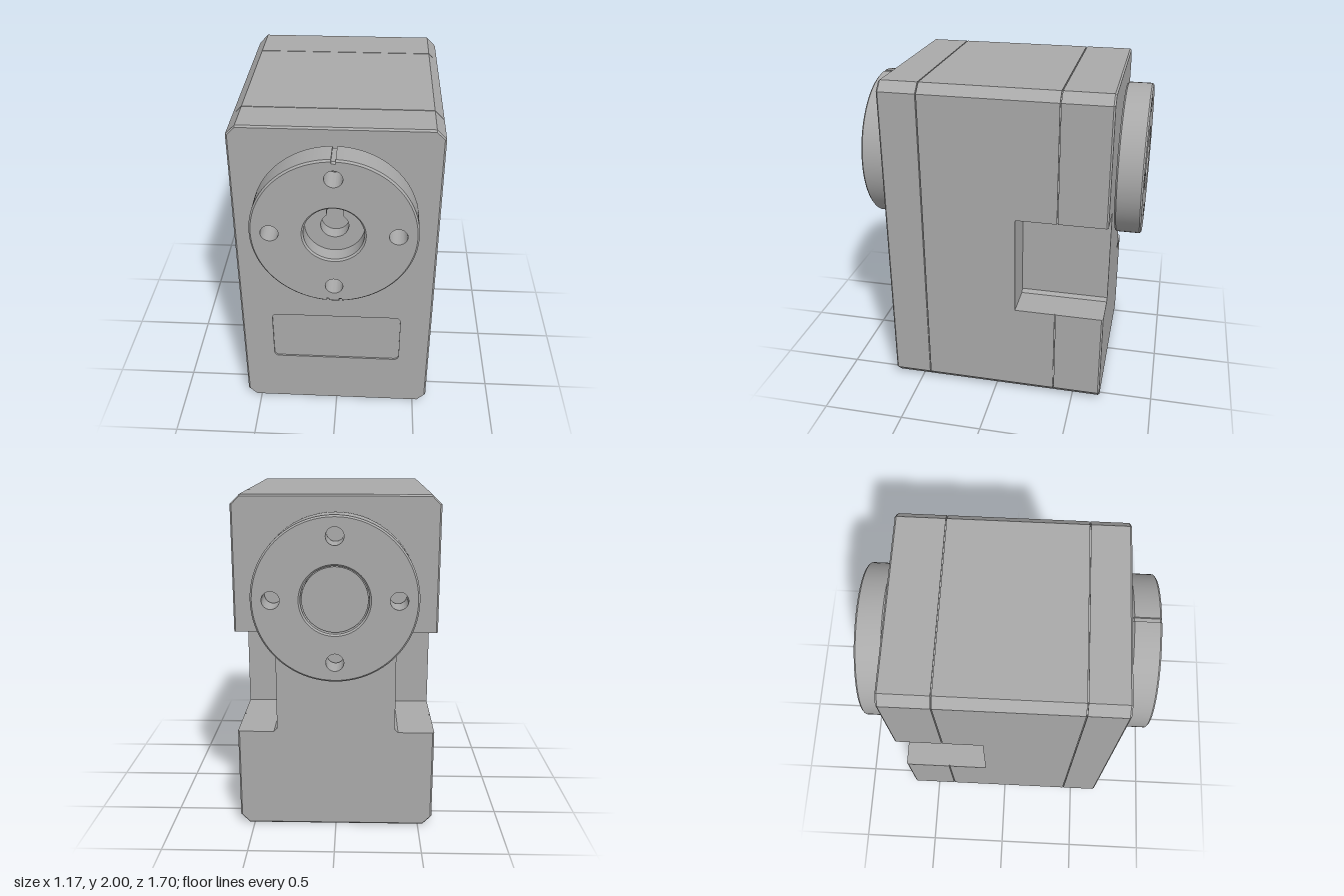
import * as THREE from 'three';
import { toCreasedNormals } from 'three/addons/utils/BufferGeometryUtils.js';

const W = 0.585, H = 2, CUT = 0.055, AXIS_Y = 1.443, BEVEL = 0.01;

// Body outline with cut corners, optionally with a notch in each side
function bodyShape(inset = 0, notched = false) {
  const w = W - inset, lo = inset, hi = H - inset;
  const half = [[w - CUT, lo], [w, lo + CUT]];
  if (notched) half.push([w, 0.605], [0.37, 0.605], [0.35, 0.625], [0.35, 1.205], [0.365, 1.22], [w, 1.22]);
  half.push([w, hi - CUT], [w - CUT, hi]);
  const pts = [...half, ...half.map(([x, y]) => [-x, y]).reverse()];
  return new THREE.Shape(pts.map(([x, y]) => new THREE.Vector2(x, y)));
}

function roundedRect(x0, y0, x1, y1, r) {
  const p = new THREE.Path();
  p.absarc(x1 - r, y1 - r, r, 0, Math.PI / 2);
  p.absarc(x0 + r, y1 - r, r, Math.PI / 2, Math.PI);
  p.absarc(x0 + r, y0 + r, r, Math.PI, Math.PI * 1.5);
  p.absarc(x1 - r, y0 + r, r, Math.PI * 1.5, Math.PI * 2);
  p.closePath();
  return p;
}

function circle(Type, r, x = 0, y = 0) {
  const c = new Type();
  c.absarc(x, y, r, 0, Math.PI * 2);
  return c;
}

function extrude(shape, z0, z1, steps = 1) {
  const g = new THREE.ExtrudeGeometry(shape, { depth: z1 - z0, steps, bevelEnabled: false, curveSegments: 40 });
  return g.translate(0, 0, z0);
}

// Pulls the outer edges of one end inwards
function taper(g, zEnd) {
  const p = g.attributes.position;
  for (let i = 0; i < p.count; i++) {
    if (Math.abs(p.getZ(i) - zEnd) > 1e-4) continue;
    const x = p.getX(i), y = p.getY(i);
    if (Math.abs(x) > W - 0.005) p.setX(i, x - Math.sign(x) * BEVEL);
    if (y < 0.005) p.setY(i, y + BEVEL);
    if (y > H - 0.005) p.setY(i, y - BEVEL);
  }
  g.computeVertexNormals();
  return g;
}

// Round flange with four bolt holes, a centre bore and rim slots [angle, half width]
function flangeGeometry(depth, bore, slots) {
  const R = 0.465, s = new THREE.Shape();
  let from = slots.length ? slots[0][0] + slots[0][1] : 0;
  const start = from;
  for (const [a, h] of [...slots.slice(1), ...slots.slice(0, 1).map(([a, h]) => [a + Math.PI * 2, h])]) {
    s.absarc(0, 0, R, from, a - h);
    s.lineTo(Math.cos(a - h) * (R - 0.012), Math.sin(a - h) * (R - 0.012));
    s.lineTo(Math.cos(a + h) * (R - 0.012), Math.sin(a + h) * (R - 0.012));
    from = a + h;
  }
  if (!slots.length) s.absarc(0, 0, R, start, start + Math.PI * 2);
  else s.closePath();
  s.holes.push(circle(THREE.Path, bore));
  for (let i = 0; i < 4; i++) {
    const a = i * Math.PI / 2;
    s.holes.push(circle(THREE.Path, 0.05, Math.cos(a) * 0.352, Math.sin(a) * 0.352));
  }
  // Middle layers move to the ends so the outer rim and the bore get a small bevel
  const g = extrude(s, 0, depth, 3), p = g.attributes.position;
  const layers = [0, BEVEL, depth - BEVEL, depth];
  for (let i = 0; i < p.count; i++) {
    const layer = Math.round(p.getZ(i) / depth * 3);
    const x = p.getX(i), y = p.getY(i), r = Math.hypot(x, y);
    p.setZ(i, layers[layer]);
    let k = 1;
    if (r > 0.45 && layer % 3 === 0) k = (r - BEVEL) / r;
    if (r < 0.22 && layer === 3) k = (r + BEVEL) / r;
    p.setX(i, x * k);
    p.setY(i, y * k);
  }
  return toCreasedNormals(g, 0.5);
}

export function createModel() {
  const model = new THREE.Group();
  model.name = 'actuator';
  const grey = new THREE.MeshStandardMaterial({ color: 0xaaaaaa });
  grey.name = 'housing grey';
  const add = (name, geometry, parent = model) => {
    const m = new THREE.Mesh(geometry, grey);
    m.name = name;
    parent.add(m);
    return m;
  };

  // Housing: sections divided by thin seam grooves
  const full = bodyShape(), notched = bodyShape(0, true);
  const faceShape = bodyShape();
  faceShape.holes.push(roundedRect(-0.395, 0.365, 0.395, 0.71, 0.03));
  add('frontFace', taper(extrude(faceShape, 0.665, 0.675), 0.675));
  add('frontCover', extrude(full, 0.443, 0.665));
  add('frontSeam', extrude(bodyShape(0.008), 0.437, 0.443));
  add('middleHousing', extrude(full, -0.13, 0.437));
  add('notchedHousing', extrude(notched, -0.377, -0.13));
  add('backSeam', extrude(bodyShape(0.008, true), -0.383, -0.377));
  add('backCover', extrude(notched, -0.665, -0.383));
  add('backFace', taper(extrude(notched, -0.675, -0.665), -0.675));

  // Front output flange with keyed hub
  const front = new THREE.Group();
  front.name = 'frontFlange';
  front.position.set(0, AXIS_Y, 0.675);
  model.add(front);
  const down = -Math.PI / 2;
  const slots = [[Math.PI / 2 - Math.PI * 2, 0.027], [down - 0.08, 0.018], [down + 0.08, 0.018]];
  add('frontDisc', flangeGeometry(0.163, 0.167, slots), front).position.z = 0.014;
  const spacer = circle(THREE.Shape, 0.245);
  spacer.holes.push(circle(THREE.Path, 0.16));
  add('frontSpacer', toCreasedNormals(extrude(spacer, -0.005, 0.014), 0.5), front);
  const hub = circle(THREE.Shape, 0.167), key = new THREE.Path();
  const a = Math.asin(0.045 / 0.078);
  key.moveTo(0.045, 0.125);
  key.lineTo(-0.045, 0.125);
  key.absarc(0, 0, 0.078, Math.PI / 2 + a, Math.PI * 2.5 - a);
  key.closePath();
  hub.holes.push(key);
  add('keyedHub', toCreasedNormals(extrude(hub, 0, 0.08), 0.5), front);

  // Back idler flange with a plain plug
  const back = new THREE.Group();
  back.name = 'backFlange';
  back.position.set(0, AXIS_Y, -0.675);
  back.rotation.y = Math.PI;
  model.add(back);
  add('backDisc', flangeGeometry(0.16, 0.19, []), back).position.z = 0.014;
  add('backSpacer', toCreasedNormals(extrude(circle(THREE.Shape, 0.21), -0.005, 0.014), 0.5), back);
  add('backPlug', toCreasedNormals(extrude(circle(THREE.Shape, 0.184), 0, 0.15), 0.5), back);

  return model;
}
